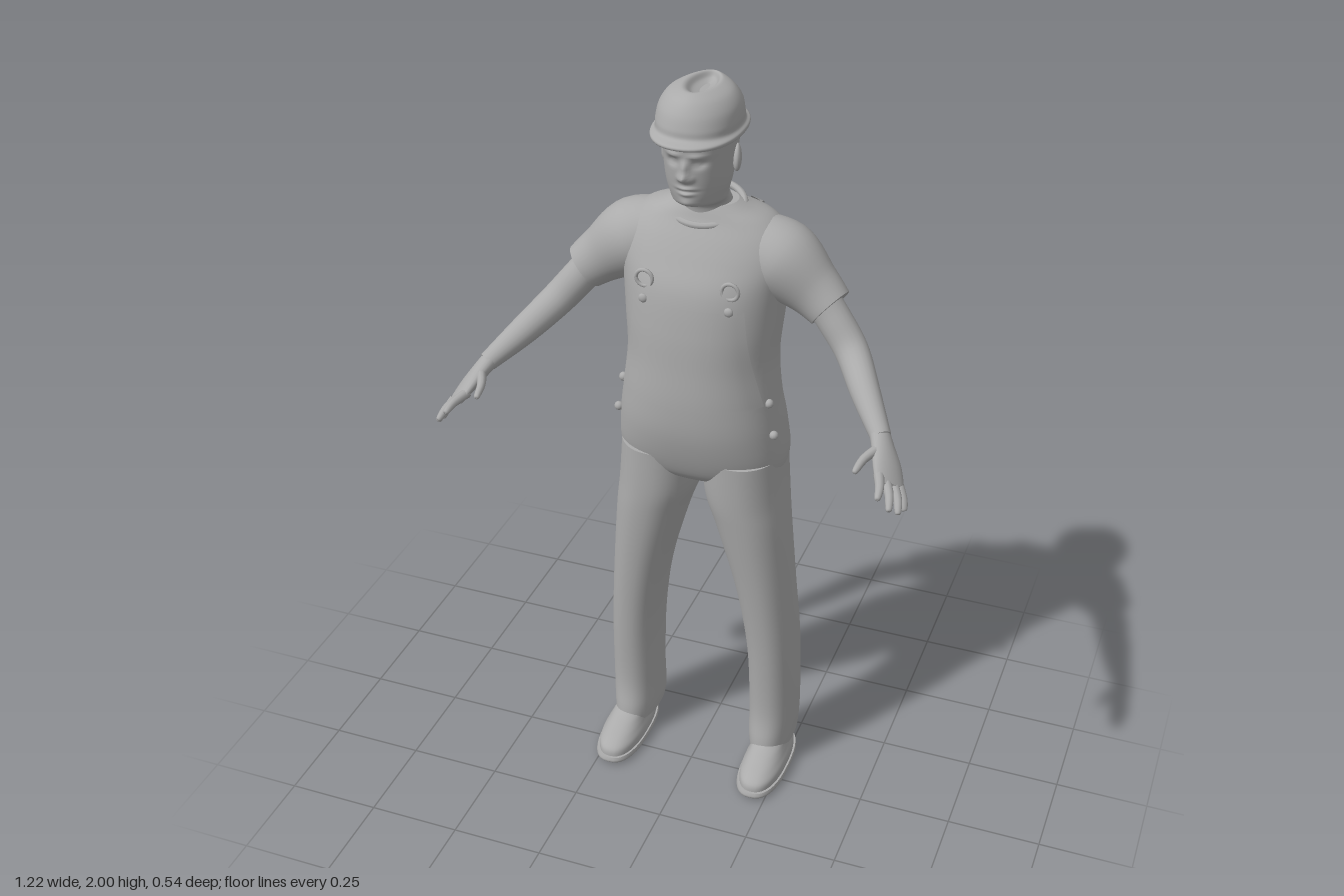
import * as THREE from 'three';

const grey = new THREE.MeshStandardMaterial({ color: 0xababab });
grey.name = 'plain grey';
const greySheet = grey.clone();
greySheet.side = THREE.DoubleSide;
const V = (a) => new THREE.Vector3(...a);

// Catmull-Rom interpolation of rows of numbers into n rows
function smooth(rows, n) {
  const m = rows.length - 1;
  return Array.from({ length: n }, (_, k) => {
    const t = (k / (n - 1)) * m, i = Math.min(Math.floor(t), m - 1), f = t - i;
    const r = (j) => rows[Math.max(0, Math.min(m, j))];
    return rows[0].map((_, c) => {
      const a = r(i - 1)[c], b = r(i)[c], d = r(i + 1)[c], e = r(i + 2)[c];
      return b + 0.5 * f * (d - a + f * (2 * a - 5 * b + 4 * d - e + f * (3 * (b - d) + e - a)));
    });
  });
}

// Skin a stack of rings and close both ends
function skin(rings) {
  const n = rings[0].length, pos = [], idx = [];
  rings.forEach((r) => r.forEach((p) => pos.push(p.x, p.y, p.z)));
  for (let i = 0; i < rings.length - 1; i++)
    for (let j = 0; j < n; j++) {
      const a = i * n + j, b = i * n + ((j + 1) % n);
      idx.push(a, b, b + n, a, b + n, a + n);
    }
  [rings[0], rings[rings.length - 1]].forEach((r, end) => {
    const s = pos.length / 3, c = new THREE.Vector3();
    r.forEach((p) => { pos.push(p.x, p.y, p.z); c.addScaledVector(p, 1 / n); });
    pos.push(c.x, c.y, c.z);
    for (let j = 0; j < n; j++) {
      const a = s + j, b = s + ((j + 1) % n);
      if (end) idx.push(a, b, s + n); else idx.push(b, a, s + n);
    }
  });
  const g = new THREE.BufferGeometry();
  g.setAttribute('position', new THREE.Float32BufferAttribute(pos, 3));
  g.setIndex(idx);
  g.computeVertexNormals();
  return g;
}

// Upright loft; rows are [y, xMin, xMax, zFront, zBack, squareness]
function upright(rows, n, seg = 40) {
  return skin(smooth(rows, n).map(([y, x0, x1, zf, zb, p]) =>
    Array.from({ length: seg }, (_, j) => {
      const a = (j / seg) * Math.PI * 2, c = Math.cos(a), s = -Math.sin(a);
      const f = (v) => Math.sign(v) * Math.abs(v) ** (2 / p);
      return V([(x0 + x1) / 2 + ((x1 - x0) / 2) * f(c), y, (zf + zb) / 2 + ((zf - zb) / 2) * f(s)]);
    })));
}
const centred = (rows) => rows.map(([y, w, zf, zb, p = 2.2]) => [y, -w, w, zf, zb, p]);

// Limb along a path; rows are [x, y, z, thickness, breadth], breadth lies along ref
function limb(rows, n, ref = [0, 0, 1], seg = 20) {
  const s = smooth(rows, n), r = V(ref);
  return skin(s.map((q, i) => {
    const t = V(s[Math.min(i + 1, n - 1)].slice(0, 3)).sub(V(s[Math.max(i - 1, 0)].slice(0, 3))).normalize();
    const u = t.clone().cross(r).normalize(), v = t.clone().cross(u);
    return Array.from({ length: seg }, (_, j) => {
      const a = (j / seg) * Math.PI * 2;
      return V(q.slice(0, 3)).addScaledVector(u, q[3] * Math.cos(a)).addScaledVector(v, q[4] * Math.sin(a));
    });
  }));
}

function mirrored(g) {
  const m = g.clone();
  m.scale(-1, 1, 1);
  const k = m.index.array;
  for (let i = 0; i < k.length; i += 3) [k[i], k[i + 1]] = [k[i + 1], k[i]];
  m.computeVertexNormals();
  return m;
}

const torsoRows = centred([
  [0.91, 0.06, -0.07, -0.15], [0.95, 0.19, 0, -0.21], [1.0, 0.222, 0.033, -0.248, 2.4],
  [1.1, 0.217, 0.062, -0.253, 2.3], [1.2, 0.203, 0.07, -0.24], [1.3, 0.193, 0.066, -0.248],
  [1.4, 0.2, 0.06, -0.26], [1.5, 0.21, 0.045, -0.27], [1.57, 0.222, 0.015, -0.262],
  [1.62, 0.205, -0.01, -0.243], [1.66, 0.165, -0.033, -0.22], [1.685, 0.11, -0.043, -0.185],
  [1.7, 0.08, -0.05, -0.165]]);
const torsoFine = smooth(torsoRows, 120);

// Depth of the torso skin at x, y on the front (1) or back (-1)
function torsoZ(x, y, side) {
  const i = Math.max(1, torsoFine.findIndex((r) => r[0] >= y));
  const a = torsoFine[i - 1], b = torsoFine[i], f = (y - a[0]) / (b[0] - a[0]);
  const [, , w, zf, zb, p] = a.map((v, c) => v + (b[c] - v) * f);
  const h = Math.max(0, 1 - Math.min(1, Math.abs(x) / w) ** p) ** (1 / p);
  return (zf + zb) / 2 + side * ((zf - zb) / 2) * h;
}

// Cloth panel lying on the torso; rows are [y, xMin, xMax]
function panel(rows, side, lift = 0.006) {
  const g = new THREE.PlaneGeometry(1, 1, 16, 24), p = g.attributes.position, s = smooth(rows, 25);
  for (let i = 0; i < p.count; i++) {
    const [y, a, b] = s[Math.floor(i / 17)], x = a + ((b - a) * (i % 17)) / 16;
    p.setXYZ(i, x, y, torsoZ(x, y, side) + side * lift);
  }
  if (side > 0) {
    const k = g.index.array;
    // rows climb upward, so turn the faces outward
    for (let i = 0; i < k.length; i += 3) [k[i], k[i + 1]] = [k[i + 1], k[i]];
  }
  g.computeVertexNormals();
  return g;
}

export function createModel() {
  const model = new THREE.Group();
  const add = (name, g, mat = grey) => {
    const m = new THREE.Mesh(g, mat);
    m.name = name;
    model.add(m);
  };
  const pair = (name, g, mat) => {
    add('left' + name, g, mat);
    add('right' + name, mirrored(g), mat);
  };

  // Body and overalls
  add('torso', upright(torsoRows, 60, 64));
  add('bib', panel([[1.2, -0.188, 0.188], [1.3, -0.165, 0.165], [1.38, -0.152, 0.152], [1.47, -0.143, 0.143]], 1), greySheet);
  add('bibPocket', panel([[1.33, -0.07, 0.07], [1.45, -0.075, 0.075]], 1, 0.009), greySheet);
  add('backPanel', panel([[1.2, -0.185, 0.185], [1.28, -0.15, 0.15], [1.38, -0.09, 0.09], [1.47, -0.05, 0.05]], -1), greySheet);
  pair('FrontStrap', panel([[1.46, 0.092, 0.128], [1.56, 0.09, 0.128], [1.63, 0.09, 0.125], [1.675, 0.085, 0.12]], 1, 0.008), greySheet);
  pair('BackStrap', panel([[1.45, 0.005, 0.05], [1.56, 0.04, 0.085], [1.675, 0.08, 0.118]], -1, 0.007), greySheet);
  pair('Trouser', upright([
    [0.06, 0.145, 0.262, -0.015, -0.243, 2.2], [0.1, 0.14, 0.266, -0.018, -0.24, 2.2],
    [0.2, 0.138, 0.27, -0.03, -0.225, 2.2], [0.4, 0.13, 0.266, -0.018, -0.22, 2.2],
    [0.6, 0.1, 0.252, 0, -0.21, 2.2], [0.8, 0.045, 0.236, 0.02, -0.217, 2.2],
    [0.9, 0.012, 0.226, 0.028, -0.235, 2.2], [1.02, 0.003, 0.217, 0.032, -0.242, 2.2]], 40));

  // Buckles and buttons
  const ring = new THREE.TorusGeometry(0.021, 0.005, 8, 20);
  ring.translate(0.11, 1.525, torsoZ(0.11, 1.525, 1) + 0.012);
  pair('Buckle', ring);
  for (const [x, y] of [[0.11, 1.475], [0.195, 1.2], [0.21, 1.11]]) {
    const b = new THREE.SphereGeometry(0.012, 12, 8);
    if (x < 0.15) b.scale(1, 1, 0.6);
    b.translate(x, y, x < 0.15 ? torsoZ(x, y, 1) + 0.01 : -0.03);
    pair('Button', b);
  }

  // Shirt collar and sleeves
  const collar = new THREE.CatmullRomCurve3(Array.from({ length: 16 }, (_, i) => {
    const a = (i / 16) * Math.PI * 2, s = Math.sin(a);
    return V([0.093 * Math.cos(a), 1.68 - 0.026 * s, -0.108 + 0.076 * s]);
  }), true);
  add('collar', new THREE.TubeGeometry(collar, 48, 0.009, 8, true));
  pair('Sleeve', limb([
    [0.1, 1.595, -0.125, 0.075, 0.08], [0.19, 1.555, -0.122, 0.098, 0.098],
    [0.275, 1.495, -0.112, 0.073, 0.068], [0.322, 1.458, -0.1, 0.061, 0.056]], 20, [0, 0, 1], 32));

  // Arms and hands
  pair('Arm', limb([
    [0.29, 1.485, -0.105, 0.045, 0.044], [0.335, 1.43, -0.095, 0.045, 0.042],
    [0.39, 1.365, -0.07, 0.043, 0.04], [0.45, 1.305, 0.01, 0.037, 0.035],
    [0.515, 1.245, 0.095, 0.025, 0.026]], 24));
  const across = [0.73, -0.61, -0.31];
  pair('Palm', limb([
    [0.508, 1.252, 0.085, 0.023, 0.026], [0.525, 1.23, 0.112, 0.021, 0.032],
    [0.546, 1.2, 0.145, 0.018, 0.042], [0.565, 1.17, 0.182, 0.012, 0.043]], 14, across));
  const fingers = {
    IndexFinger: [[0.535, 1.196, 0.178], [0.55, 1.19, 0.222], [0.556, 1.18, 0.262]],
    MiddleFinger: [[0.551, 1.182, 0.175], [0.572, 1.168, 0.215], [0.583, 1.148, 0.253]],
    RingFinger: [[0.569, 1.168, 0.168], [0.589, 1.148, 0.198], [0.599, 1.125, 0.225]],
    LittleFinger: [[0.582, 1.158, 0.16], [0.597, 1.136, 0.175], [0.605, 1.113, 0.188]],
    Thumb: [[0.525, 1.235, 0.115], [0.497, 1.226, 0.17], [0.487, 1.215, 0.222]],
  };
  for (const [name, [a, b, c]] of Object.entries(fingers)) {
    const near = b.map((v, i) => v + (c[i] - v) * 0.85);
    pair(name, limb([[...a, 0.013, 0.013], [...b, 0.011, 0.011], [...near, 0.008, 0.008], [...c, 0.003, 0.003]], 12, across, 10));
  }

  // Head, with the face pushed out or in by soft bumps [x, y, depth, width, height]
  const head = upright(centred([
    [1.66, 0.076, -0.045, -0.175, 2], [1.7, 0.066, -0.038, -0.16, 2], [1.715, 0.064, -0.015, -0.155, 2],
    [1.727, 0.066, 0.022, -0.152, 1.9], [1.745, 0.07, 0.032, -0.152, 1.9], [1.77, 0.076, 0.036, -0.155, 2],
    [1.8, 0.08, 0.04, -0.163, 2.1], [1.85, 0.085, 0.045, -0.178, 2.2], [1.89, 0.088, 0.05, -0.183, 2.2],
    [1.93, 0.085, 0.045, -0.18, 2.2]]), 80, 96);
  const bumps = [
    [0, 1.808, 0.024, 0.011, 0.012], [0, 1.832, 0.013, 0.009, 0.016], [0.014, 1.803, 0.008, 0.007, 0.007],
    [0.033, 1.842, -0.011, 0.014, 0.009], [0.032, 1.842, 0.005, 0.008, 0.004], [0.03, 1.862, 0.006, 0.02, 0.006],
    [0, 1.777, 0.007, 0.02, 0.005], [0, 1.77, -0.005, 0.02, 0.003], [0, 1.762, 0.006, 0.016, 0.005],
    [0, 1.738, 0.005, 0.018, 0.01]];
  const p = head.attributes.position;
  for (let i = 0; i < p.count; i++) {
    if (p.getZ(i) < -0.03) continue;
    let dz = 0;
    for (const [x, y, d, w, h] of bumps)
      dz += d * Math.exp(-(((Math.abs(p.getX(i)) - x) / w) ** 2) - ((p.getY(i) - y) / h) ** 2);
    p.setZ(i, p.getZ(i) + dz);
  }
  head.computeVertexNormals();
  add('head', head);
  const ear = new THREE.SphereGeometry(1, 16, 12);
  ear.scale(0.011, 0.034, 0.02).rotateX(-0.2).rotateY(0.3).translate(0.087, 1.825, -0.075);
  pair('Ear', ear);

  // Hat with a short brim and a dented crown
  add('hat', upright(centred([
    [1.888, 0.088, 0.05, -0.18], [1.89, 0.105, 0.086, -0.212], [1.9, 0.108, 0.092, -0.217],
    [1.91, 0.1, 0.07, -0.195], [1.93, 0.1, 0.066, -0.19, 2.1], [1.96, 0.094, 0.055, -0.185, 2],
    [1.985, 0.076, 0.036, -0.168, 1.9], [1.998, 0.05, 0.012, -0.155, 1.9], [1.998, 0.036, -0.005, -0.148, 1.9],
    [1.985, 0.024, -0.03, -0.14, 1.9], [1.978, 0.008, -0.06, -0.12, 2]]), 60, 56));

  // Shoes
  pair('Sole', upright([
    [0, 0.152, 0.27, 0.1, -0.19, 2.5], [0.01, 0.146, 0.277, 0.11, -0.198, 2.5], [0.022, 0.148, 0.275, 0.107, -0.196, 2.5]], 7));
  pair('Shoe', upright([
    [0.015, 0.152, 0.27, 0.1, -0.19, 2.4], [0.04, 0.153, 0.27, 0.096, -0.19, 2.4],
    [0.058, 0.16, 0.262, 0.07, -0.188, 2.3], [0.075, 0.165, 0.255, 0.025, -0.185, 2.2],
    [0.095, 0.165, 0.25, -0.025, -0.18, 2], [0.13, 0.165, 0.245, -0.05, -0.17, 2]], 24));
  return model;
}
